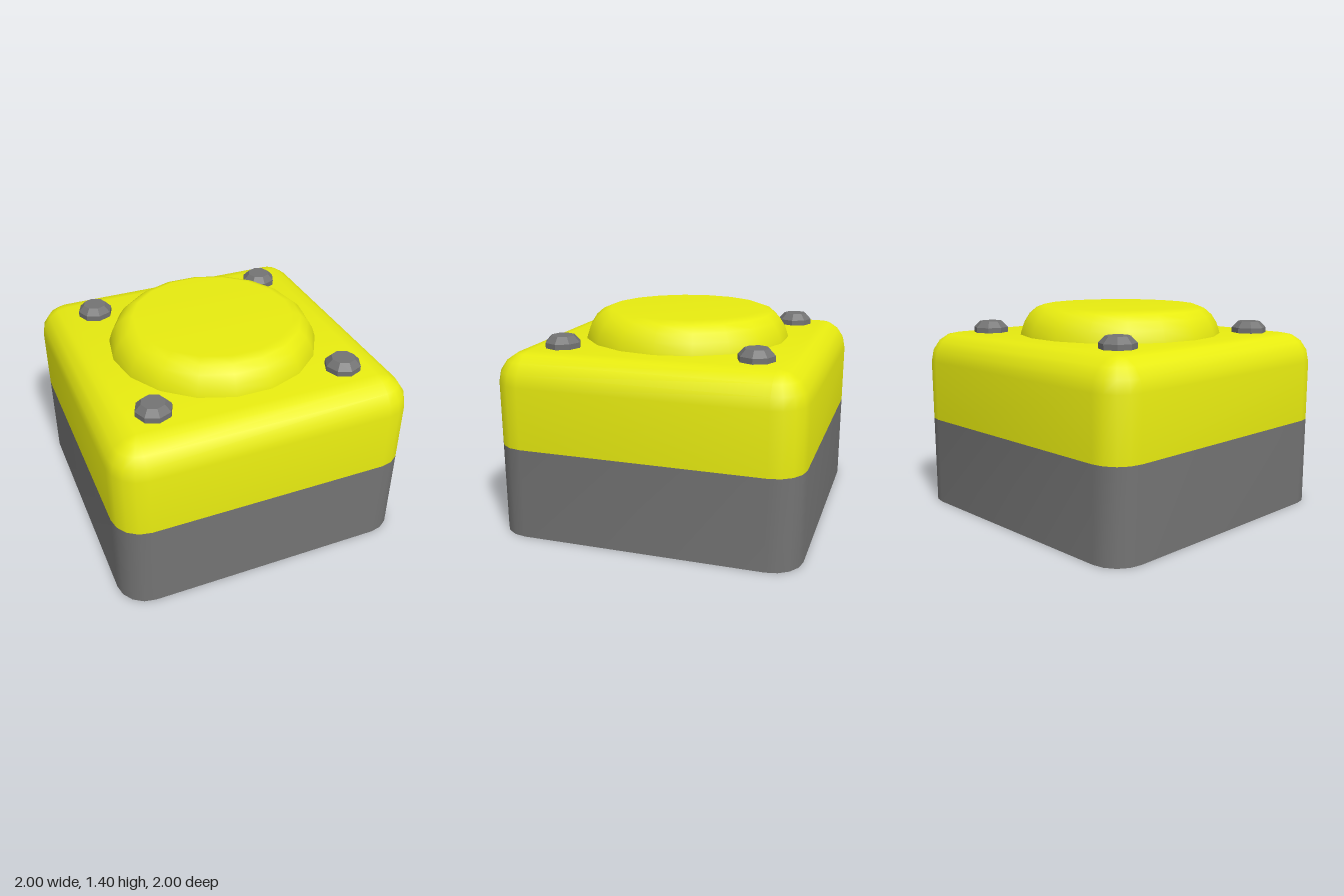
import * as THREE from 'three';
import { toCreasedNormals } from 'three/addons/utils/BufferGeometryUtils.js';

const yellow = new THREE.MeshStandardMaterial({ color: 0xe7eb10 });
const grey = new THREE.MeshStandardMaterial({ color: 0x737373 });
const boltGrey = new THREE.MeshStandardMaterial({ color: 0x737373, flatShading: true });

const CORNER = 0.2, CORE = 0.8, STEPS = 4, HEIGHT = 1.207;

// Rounded-square loops, one per [corner radius, height], closed at chosen ends
function roundedSquareLoft(profile, capBottom, capTop) {
  const pos = [], index = [], n = 4 * (STEPS + 1);
  for (const [r, y] of profile) {
    for (let c = 0; c < 4; c++) {
      const mid = Math.PI / 4 + c * Math.PI / 2;
      const cx = Math.sign(Math.cos(mid)) * CORE, cz = Math.sign(Math.sin(mid)) * CORE;
      for (let s = 0; s <= STEPS; s++) {
        const a = (c + s / STEPS) * Math.PI / 2;
        pos.push(cx + r * Math.cos(a), y, cz + r * Math.sin(a));
      }
    }
  }
  const last = profile.length - 1;
  for (let i = 0; i < last; i++) {
    for (let j = 0; j < n; j++) {
      const a = i * n + j, b = i * n + (j + 1) % n;
      index.push(a, a + n, b, b, a + n, b + n);
    }
  }
  const cap = (ring, up) => {
    const centre = pos.length / 3;
    pos.push(0, profile[ring][1], 0);
    for (let j = 0; j < n; j++) {
      const a = ring * n + j, b = ring * n + (j + 1) % n;
      index.push(centre, up ? b : a, up ? a : b);
    }
  };
  if (capBottom) cap(0, false);
  if (capTop) cap(last, true);
  const g = new THREE.BufferGeometry();
  g.setAttribute('position', new THREE.Float32BufferAttribute(pos, 3));
  g.setIndex(index);
  return toCreasedNormals(g, Math.PI / 4);
}

function lathe(points, sides) {
  return new THREE.LatheGeometry(points.map(p => new THREE.Vector2(...p)), sides, Math.PI / 2);
}

export function createModel() {
  const model = new THREE.Group();
  model.name = 'pushButtonBox';
  const add = (name, geometry, material) => {
    const mesh = new THREE.Mesh(geometry, material);
    mesh.name = name;
    model.add(mesh);
    return mesh;
  };

  // Lower half of the housing
  add('base', roundedSquareLoft([[CORNER, 0], [CORNER, 0.6]], true, false), grey);

  // Upper half with rounded top edges
  const profile = [[CORNER, 0.6]];
  for (let i = 0; i <= STEPS; i++) {
    const a = i / STEPS * Math.PI / 2;
    profile.push([CORNER * Math.cos(a), HEIGHT - CORNER + CORNER * Math.sin(a)]);
  }
  add('cover', roundedSquareLoft(profile, false, true), yellow);

  // Large round button
  add('button', lathe([[0.7, 1.19], [0.695, 1.22], [0.675, 1.28], [0.64, 1.335],
    [0.59, 1.378], [0.53, 1.4], [0, 1.4]], 18), yellow);

  // Corner bolts
  const boltGeometry = lathe([[0.118, 1.19], [0.118, 1.242], [0.078, 1.284], [0, 1.284]], 8);
  for (const x of [-1, 1]) {
    for (const z of [-1, 1]) {
      const name = (z > 0 ? 'front' : 'back') + (x > 0 ? 'Left' : 'Right') + 'Bolt';
      add(name, boltGeometry, boltGrey).position.set(x * 0.64, 0, z * 0.64);
    }
  }
  return model;
}
